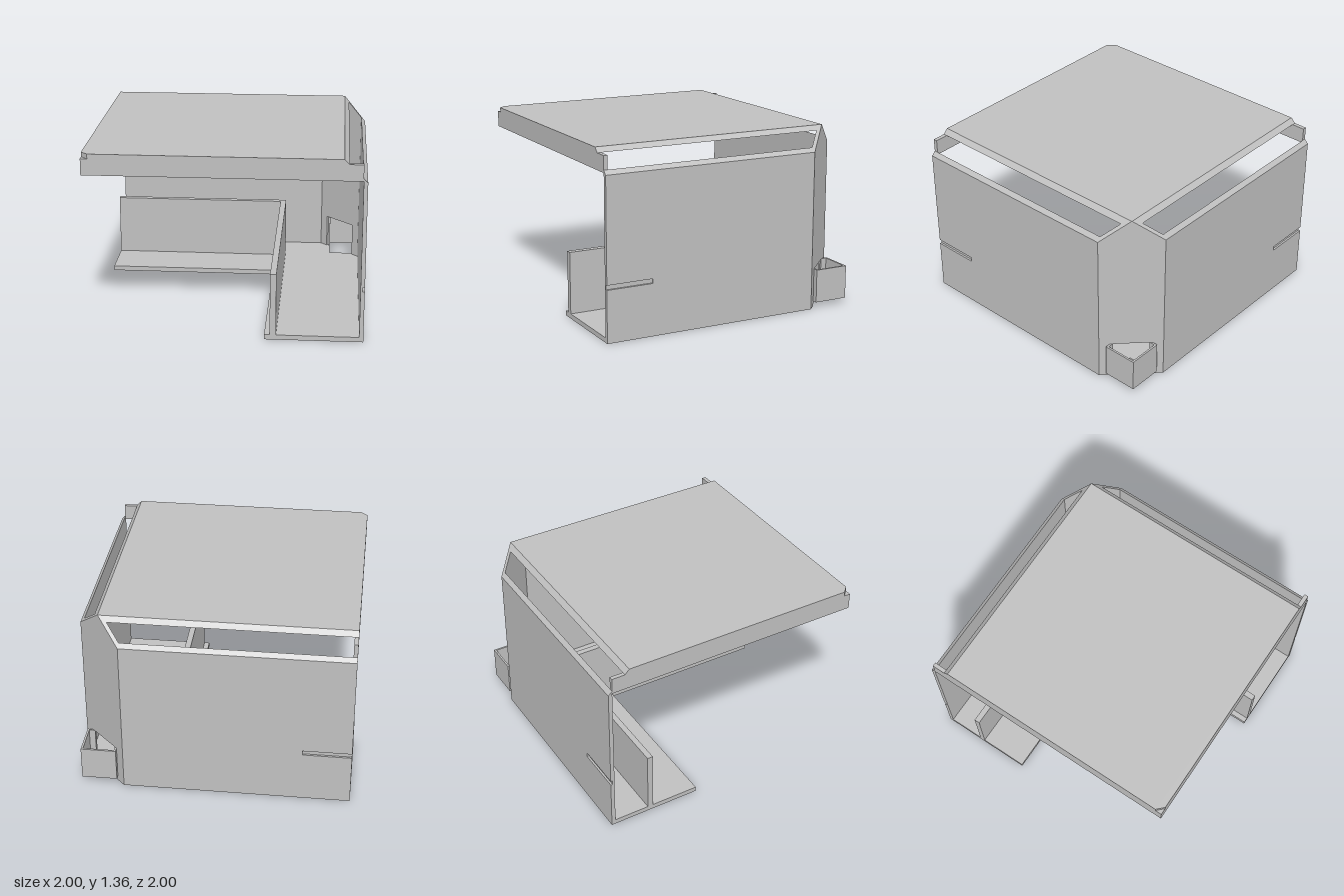
import * as THREE from 'three';
import { ConvexGeometry } from 'three/addons/geometries/ConvexGeometry.js';

export function createModel() {
  const model = new THREE.Group();
  model.name = 'cornerChannel';
  const grey = new THREE.MeshStandardMaterial({ color: 0xc0c0c0, side: THREE.DoubleSide });
  grey.name = 'plain grey';

  function add(name, geometry) {
    const mesh = new THREE.Mesh(geometry, grey);
    mesh.name = name;
    model.add(mesh);
    return mesh;
  }

  const shapeOf = (pts) => new THREE.Shape(pts.map(([a, b]) => new THREE.Vector2(a, b)));
  const extrude = (pts, depth) =>
    new THREE.ExtrudeGeometry(shapeOf(pts), { depth, bevelEnabled: false });

  // Plan outline in (x, z), raised from y0 to y1
  function plan(name, pts, y0, y1) {
    const g = extrude(pts.map(([x, z]) => [x, -z]), y1 - y0);
    g.rotateX(-Math.PI / 2).translate(0, y0, 0);
    return add(name, g);
  }

  // Box given by its extents
  function box(name, x0, x1, y0, y1, z0, z1) {
    const g = new THREE.BoxGeometry(x1 - x0, y1 - y0, z1 - z0);
    g.translate((x0 + x1) / 2, (y0 + y1) / 2, (z0 + z1) / 2);
    return add(name, g);
  }

  // L-shaped floor with a square notch at the outer corner
  plan('floor', [
    [-1, -0.98], [0.67, -0.98], [0.738, -0.912], [0.738, -0.738], [0.912, -0.738],
    [0.98, -0.67], [0.98, 1], [0.29, 1], [0.29, -0.29], [-1, -0.29],
  ], 0, 0.036);

  // Low inner wall, following both arms
  plan('innerWall', [
    [0.33, 1], [0.375, 1], [0.375, -0.7], [-1, -0.7], [-1, -0.657], [0.33, -0.657],
  ], 0.03, 0.5);

  // Outer walls: sloped top edge, shallow groove near the open end
  const plain = [[0.97, 0], [1, 0], [1, 1.19], [0.97, 1.22]];
  const grooved = [
    [0.97, 0], [1, 0], [1, 0.386], [0.985, 0.386], [0.985, 0.42], [1, 0.42], [1, 1.19], [0.97, 1.22],
  ];
  add('rightWall', extrude(plain, 1.315).translate(0, 0, -0.67));
  add('rightWallGrooved', extrude(grooved, 0.355).translate(0, 0, 0.645));
  add('backWall', extrude(plain, 1.315).translate(0, 0, -0.645).rotateY(Math.PI / 2));
  add('backWallGrooved', extrude(grooved, 0.355).translate(0, 0, -1).rotateY(Math.PI / 2));

  // Diagonal corner plate with a doorway; its inner top edge follows the roof slopes
  const half = 0.2333, door = 0.148, thick = 0.0247;
  const corner = extrude([
    [-half, 0], [-door, 0], [-door, 0.29], [door, 0.29], [door, 0], [half, 0],
    [half, 1.19], [0.001, 1.355], [-0.001, 1.355], [-half, 1.19],
  ], thick);
  const p = corner.attributes.position;
  for (let i = 0; i < p.count; i++) {
    if (p.getZ(i) < thick / 2 || p.getY(i) < 1) continue;
    if (Math.abs(p.getX(i)) < 0.01) p.setX(i, Math.sign(p.getX(i)) * thick);
    else p.setY(i, 1.2075);
  }
  corner.computeVertexNormals();
  // Local depth points inward, towards -x and +z
  corner.rotateY(-Math.PI / 4).translate(0.835, 0, -0.835);
  add('cornerPlate', corner);

  // Square sleeve outside the doorway, open above and below
  plan('cornerSleeve', [
    [0.725, -0.925], [0.725, -0.985], [0.985, -0.985], [0.985, -0.725], [0.925, -0.725],
    [0.925, -0.74], [0.97, -0.74], [0.97, -0.97], [0.74, -0.97], [0.74, -0.925],
  ], 0.04, 0.29);

  // Roof plate with bevelled outer edges and a clipped inner corner
  const top = [[-1, -0.835], [0.835, -0.835], [0.835, 1], [-0.95, 1], [-1, 0.95]];
  const under = [[-1, -0.87], [0.8, -0.87], [0.87, -0.8], [0.87, 1], [-0.95, 1], [-1, 0.95]];
  add('roof', new ConvexGeometry([
    ...top.map(([x, z]) => new THREE.Vector3(x, 1.355, z)),
    ...under.map(([x, z]) => new THREE.Vector3(x, 1.32, z)),
  ]));

  // Skirts hanging from the roof's open sides
  box('frontSkirt', -1, 0.97, 1.2, 1.32, 0.97, 1);
  box('sideSkirt', -1, -0.97, 1.2, 1.32, -0.97, 0.97);

  return model;
}
